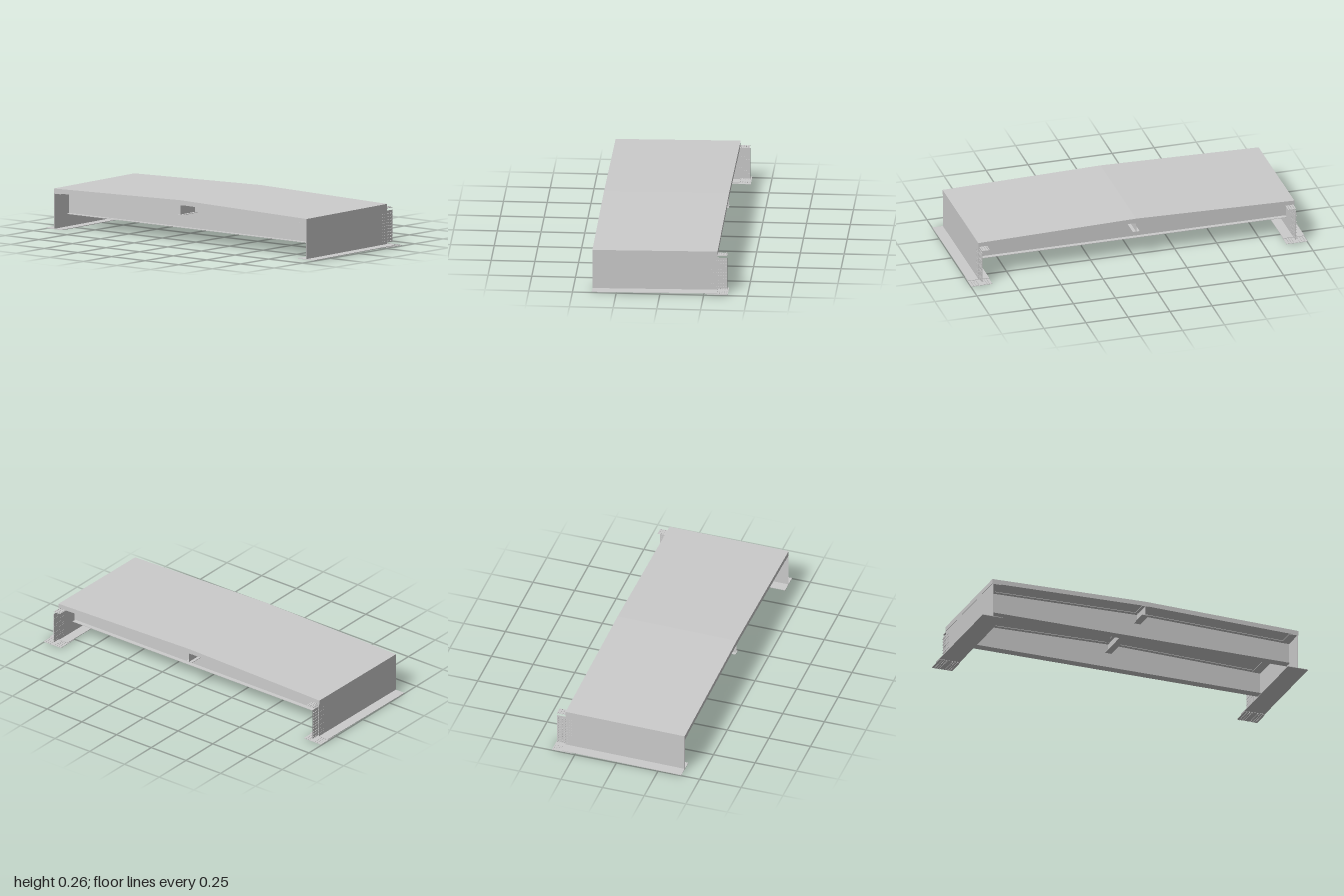
import * as THREE from 'three';
import { mergeGeometries } from 'three/addons/utils/BufferGeometryUtils.js';

const FRONT = 0.39, BACK = -0.325, EDGE = 0.937;
const CROWN = 0.0205;   // fall from the centre line to the deck edge
const GRADE = 0.0105;   // rise per unit towards the back

const steel = new THREE.MeshStandardMaterial({ color: 0xcccccc, flatShading: true });

// Box given by its limits, with a break at the crown line
function span(x0, x1, y0, y1, z0, z1, segments = 1) {
  const geo = new THREE.BoxGeometry(x1 - x0, y1 - y0, z1 - z0, segments, 1, 1);
  return geo.translate((x0 + x1) / 2, (y0 + y1) / 2, (z0 + z1) / 2);
}

// Lift vertices to follow the lengthwise grade and, if asked, the crown
function slope(geo, crown = 0) {
  const p = geo.attributes.position;
  for (let i = 0; i < p.count; i++) {
    const lift = (FRONT - p.getZ(i)) * GRADE - crown * Math.abs(p.getX(i)) / EDGE;
    p.setY(i, p.getY(i) + lift);
  }
  geo.computeVertexNormals();
  return geo;
}

function add(parent, name, geo) {
  const mesh = new THREE.Mesh(geo, steel);
  mesh.name = name;
  parent.add(mesh);
  return mesh;
}

// Small square bolt shanks with a head on both sides of a plate
function boltGrid(points, size) {
  return mergeGeometries(points.map(([x, y, z]) =>
    new THREE.BoxGeometry(...size).translate(x, y, z)));
}

function girder(side) {
  const group = new THREE.Group();
  group.name = side > 0 ? 'leftGirder' : 'rightGirder';
  const part = (name, x0, x1, ...rest) => {
    const a = side * x0, b = side * x1;
    return add(group, name, span(Math.min(a, b), Math.max(a, b), ...rest));
  };
  slope(part('girderWeb', 0.934, 0.938, 0.004, 0.21, BACK, FRONT).geometry);
  slope(part('girderBottomFlange', 0.875, 1, 0.002, 0.005, BACK, FRONT).geometry);
  slope(part('girderTopFlange', 0.885, 0.937, 0.207, 0.21, BACK, FRONT).geometry);

  // Splice plates at the back end
  part('webSplicePlate', 0.931, 0.934, 0.02, 0.204, -0.38, -0.283);
  part('bottomSplicePlate', 0.875, 1, 0.004, 0.006, -0.387, -0.265);
  part('topSplicePlate', 0.887, 0.934, 0.217, 0.219, -0.38, -0.32);

  // Bolts
  const web = [], bottom = [], top = [];
  for (let c = 0; c < 7; c++) {
    const z = -0.289 - c * 0.014;
    for (let r = 0; r < 10; r++) web.push([side * 0.9345, 0.029 + r * 0.0175, z]);
  }
  for (let c = 0; c < 9; c++) {
    const z = -0.27 - c * 0.0138;
    for (const x of [0.89, 0.905, 0.92, 0.955, 0.97, 0.985]) bottom.push([side * x, 0.0045, z]);
  }
  for (let c = 0; c < 4; c++) {
    for (const x of [0.895, 0.91, 0.925]) top.push([side * x, 0.219, -0.332 - c * 0.0138]);
  }
  add(group, 'webBolts', boltGrid(web, [0.011, 0.004, 0.004]));
  add(group, 'bottomSpliceBolts', boltGrid(bottom, [0.004, 0.009, 0.004]));
  add(group, 'topSpliceBolts', boltGrid(top, [0.004, 0.008, 0.004]));
  return group;
}

// Transverse I-beam: level bottom flange, crowned top
function crossBeam(z) {
  const group = new THREE.Group();
  group.name = 'crossBeam';
  const lift = (FRONT - z) * GRADE;
  const shape = new THREE.Shape();
  shape.moveTo(-EDGE, 0.08);
  shape.lineTo(EDGE, 0.08);
  shape.lineTo(EDGE, 0.21 + lift);
  shape.lineTo(0, 0.23 + lift);
  shape.lineTo(-EDGE, 0.21 + lift);
  const web = new THREE.ExtrudeGeometry(shape, { depth: 0.004, bevelEnabled: false });
  add(group, 'crossBeamWeb', web.translate(0, 0, z - 0.002));
  add(group, 'crossBeamBottomFlange', span(-0.93, 0.93, 0.079, 0.082, z - 0.026, z + 0.026));
  add(group, 'crossBeamTopFlange',
    slope(span(-0.91, 0.91, 0.227, 0.23, z - 0.026, z + 0.026, 2), CROWN));
  return group;
}

export function createModel() {
  const model = new THREE.Group();
  model.name = 'bridgeSegment';

  // Crowned deck slab
  add(model, 'deckSlab', slope(span(-0.94, 0.94, 0.23, 0.257, BACK, FRONT, 2), CROWN));

  // Main girders
  for (const side of [1, -1]) model.add(girder(side));

  // Cross beams
  for (const z of [0.26, -0.18]) model.add(crossBeam(z));

  // Central stringer
  const stringer = new THREE.Group();
  stringer.name = 'stringer';
  add(stringer, 'stringerWeb', slope(span(-0.0015, 0.0015, 0.174, 0.23, BACK, FRONT)));
  add(stringer, 'stringerBottomFlange', slope(span(-0.02, 0.02, 0.172, 0.1745, BACK, FRONT)));
  add(stringer, 'stringerTopFlange', slope(span(-0.02, 0.02, 0.2275, 0.23, BACK, FRONT)));
  model.add(stringer);

  return model;
}
